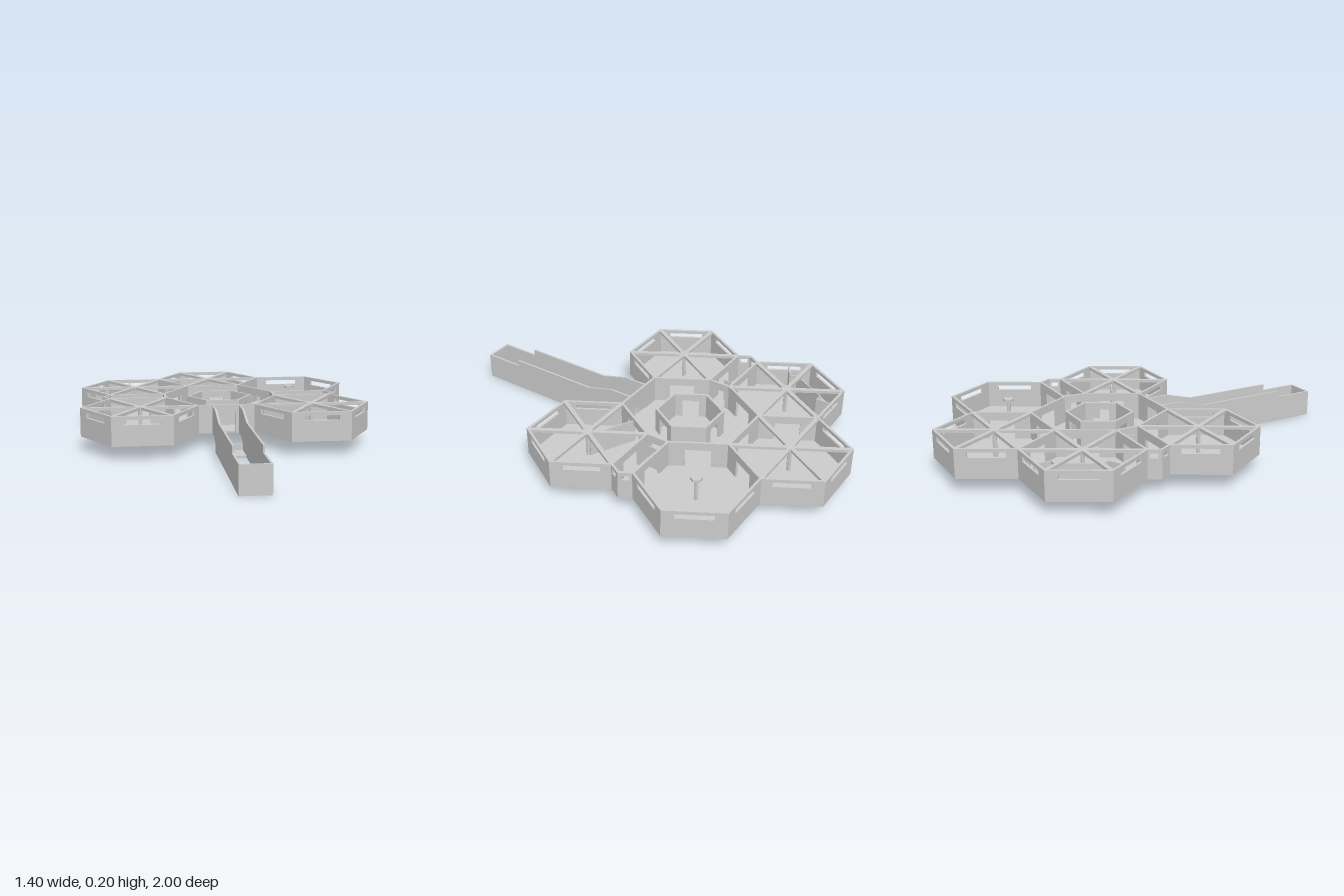
import * as THREE from 'three';

const material = new THREE.MeshStandardMaterial({ color: 0xcccccc, flatShading: true, side: THREE.DoubleSide });
const BASE = 0.065, FLOOR = 0.073, TOP = 0.205, T = 0.012;
const R = 0.278, A = R * Math.sqrt(3) / 2;
const HALL_Z = -0.2145;

function add(parent, name, geometry) {
  const mesh = new THREE.Mesh(geometry, material);
  mesh.name = name;
  parent.add(mesh);
  return mesh;
}

const shapeOf = (pts) => new THREE.Shape(pts.map(([x, y]) => new THREE.Vector2(x, y)));

function hexCorners(cx, cz, r) {
  return Array.from({ length: 6 }, (_, i) => {
    const a = i * Math.PI / 3;
    return [cx + r * Math.cos(a), cz + r * Math.sin(a)];
  });
}

// Upright panel between two plan points, with an optional doorway or window slot
function wall(parent, name, a, b, { door = 0, doorTop = 0.165, slot = 0, top = TOP, bottom = BASE, t = T } = {}) {
  const dx = b[0] - a[0], dz = b[1] - a[1];
  const h = Math.hypot(dx, dz) / 2 + t * 0.28, d = door / 2;
  const pts = [[-h, bottom]];
  if (door) pts.push([-d, bottom], [-d, doorTop], [d, doorTop], [d, bottom]);
  pts.push([h, bottom], [h, top], [-h, top]);
  const shape = shapeOf(pts);
  if (slot) {
    const s = slot / 2;
    shape.holes.push(new THREE.Path([[-s, 0.164], [-s, 0.188], [s, 0.188], [s, 0.164]]
      .map(([x, y]) => new THREE.Vector2(x, y))));
  }
  const geo = new THREE.ExtrudeGeometry(shape, { depth: t, bevelEnabled: false }).translate(0, 0, -t / 2);
  const mesh = add(parent, name, geo);
  mesh.position.set((a[0] + b[0]) / 2, 0, (a[1] + b[1]) / 2);
  mesh.rotation.y = -Math.atan2(dz, dx);
}

// Flat plate from a plan outline
function floor(parent, name, pts) {
  const geo = new THREE.ExtrudeGeometry(shapeOf(pts.map(([x, z]) => [x, -z])),
    { depth: FLOOR - BASE, bevelEnabled: false });
  geo.rotateX(-Math.PI / 2).translate(0, BASE, 0);
  add(parent, name, geo);
}

// Hexagonal room. Each side: w = window slot, d = doorway, '-' = drawn by the neighbour
function room(parent, name, cx, cz, sides, roofed) {
  const g = new THREE.Group();
  g.name = name;
  parent.add(g);
  const c = hexCorners(cx, cz, R);
  floor(g, 'roomFloor', c);
  [...sides].forEach((kind, i) => {
    const a = c[i], b = c[(i + 1) % 6];
    if (kind === 'w') wall(g, 'windowWall', a, b, { slot: 0.17 });
    if (kind === 'd') wall(g, 'doorWall', a, b, { door: 0.12 });
  });
  const postTop = roofed ? TOP : 0.195;
  add(g, 'centrePost', new THREE.CylinderGeometry(0.011, 0.011, postTop - FLOOR, 6)
    .translate(cx, (postTop + FLOOR) / 2, cz));
  add(g, 'postCap', new THREE.CylinderGeometry(0.028, 0.028, 0.012, 6)
    .rotateY(Math.PI / 6).translate(cx, postTop - 0.006, cz));
  if (roofed) {
    for (let i = 0; i < 6; i++) {
      const beam = add(g, 'roofBeam', new THREE.BoxGeometry(R, 0.014, 0.02).translate(R / 2, 0, 0));
      beam.position.set(cx, TOP - 0.0075, cz);
      beam.rotation.y = i * Math.PI / 3;
    }
  }
}

function partition(parent, pts, top = 0.19) {
  for (let i = 0; i + 1 < pts.length; i++) {
    wall(parent, 'partition', pts[i], pts[i + 1], { top, bottom: FLOOR, t: 0.006 });
  }
}

export function createModel() {
  const model = new THREE.Group();
  model.name = 'hexagonalStation';

  // Outer rooms; sides run from +x towards +z
  const X = 1.5 * R, backZ = -0.753, midZ = backZ + A, frontZ = 0.083;
  room(model, 'backRoom', 0, backZ, 'dddwww', true);
  room(model, 'backLeftRoom', X, midZ, 'wdd-ww', false);
  room(model, 'backRightRoom', -X, midZ, 'ddwww-', true);
  room(model, 'frontLeftRoom', X, frontZ, 'wwwddw', true);
  room(model, 'frontRightRoom', -X, frontZ, 'wwwwdd', true);

  // Central hall, an elongated hexagon
  const hall = new THREE.Group();
  hall.name = 'centralHall';
  model.add(hall);
  const nearZ = frontZ - A, farZ = midZ + A;
  floor(hall, 'hallFloor', [[R / 2, midZ], [R, farZ], [R, nearZ], [R / 2, frontZ],
    [-R / 2, frontZ], [-R, nearZ], [-R, farZ], [-R / 2, midZ]]);
  wall(hall, 'entranceWall', [-R / 2, frontZ], [R / 2, frontZ], { door: 0.09 });

  // Inner hexagonal enclosure
  const core = hexCorners(0, HALL_Z, 0.158);
  core.forEach((p, i) => wall(hall, 'coreWall', p, core[(i + 1) % 6],
    { door: i % 2 ? 0 : 0.08, top: 0.2 }));

  // Side passages between front and back rooms, closed by a pointed bay
  for (const s of [1, -1]) {
    const g = new THREE.Group();
    g.name = s > 0 ? 'leftPassage' : 'rightPassage';
    model.add(g);
    const tip = [s * 0.588, HALL_Z], p = [s * 2 * R, farZ], q = [s * 2 * R, nearZ];
    floor(g, 'passageFloor', [[s * R, farZ], p, tip, q, [s * R, nearZ]]);
    wall(g, 'bayWall', p, tip, { slot: 0.036 });
    wall(g, 'bayWall', tip, q, { slot: 0.036 });
    wall(g, 'passageDoor', [s * R, farZ], [s * R, nearZ], { door: 0.07 });
    partition(g, [[s * 0.337, farZ], [s * 0.337, HALL_Z + 0.005]]);
  }

  // Room partitions
  partition(model, [[-0.44, -0.75], [-0.44, -0.67], [-0.475, -0.67], [-0.572, -0.495],
    [-0.56, -0.46], [-0.63, -0.42]]);
  partition(model, [[X, frontZ - 0.015], [0.205, -0.035]]);

  // Entrance trench: stepped side walls, end wall and threshold plates
  const trench = new THREE.Group();
  trench.name = 'entranceTrench';
  model.add(trench);
  const profile = shapeOf([[1, 0], [1, 0.13], [0.8, 0.13], [0.8, 0.162], [0.34, 0.162], [0.2, 0.2],
    [0.085, 0.2], [0.085, BASE], [0.165, BASE], [0.19, 0.05], [0.22, 0.04], [0.22, 0]]);
  for (const x of [-0.07, 0.06]) {
    add(trench, 'trenchSide', new THREE.ExtrudeGeometry(profile, { depth: 0.01, bevelEnabled: false })
      .rotateY(-Math.PI / 2).translate(x + 0.01, 0, 0));
  }
  add(trench, 'trenchEnd', new THREE.BoxGeometry(0.12, 0.13, 0.01).translate(0, 0.065, 0.995));
  add(trench, 'thresholdPlate', new THREE.BoxGeometry(0.12, 0.01, 0.12).translate(0, 0.005, 0.285));
  add(trench, 'thresholdRiser', new THREE.BoxGeometry(0.12, 0.04, 0.008).translate(0, 0.02, 0.224));
  return model;
}
